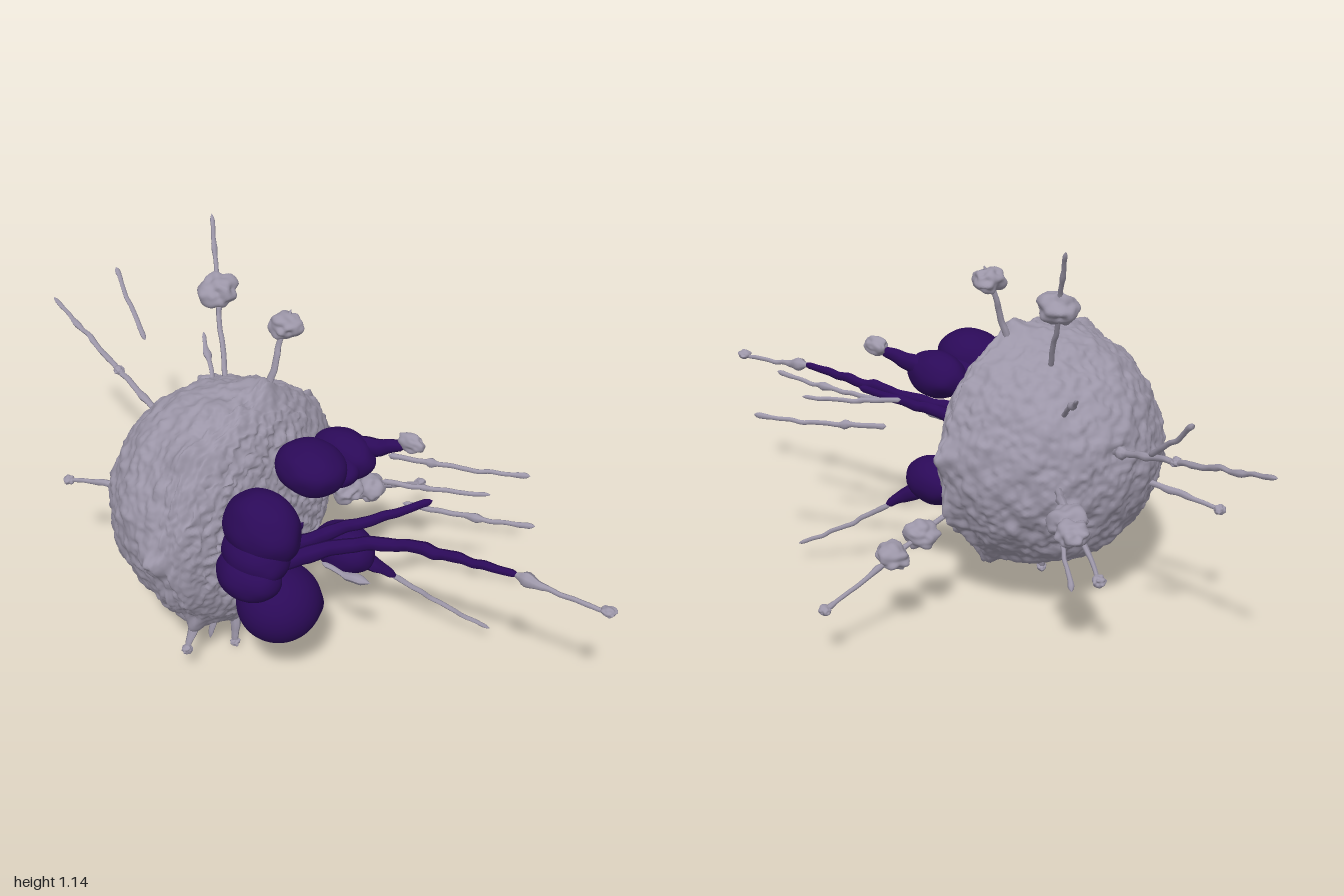
import * as THREE from 'three';
import { mergeVertices } from 'three/addons/utils/BufferGeometryUtils.js';

const CENTRE = new THREE.Vector3(-0.08, 0.465, 0.18);
const RADIUS = 0.343;
const vec = (a) => new THREE.Vector3(...a);

// Smooth seeded value noise in the range -1..1
function hash(x, y, z) {
  const s = Math.sin(x * 127.1 + y * 311.7 + z * 74.7) * 43758.5453;
  return (s - Math.floor(s)) * 2 - 1;
}
function noise(x, y, z) {
  const i = [x, y, z].map(Math.floor);
  const f = [x - i[0], y - i[1], z - i[2]].map((t) => t * t * (3 - 2 * t));
  let sum = 0;
  for (let k = 0; k < 8; k++) {
    const a = k & 1, b = (k >> 1) & 1, c = k >> 2;
    sum += hash(i[0] + a, i[1] + b, i[2] + c) *
      (a ? f[0] : 1 - f[0]) * (b ? f[1] : 1 - f[1]) * (c ? f[2] : 1 - f[2]);
  }
  return sum;
}
const noiseAt = (d, f) => noise(d.x * f, d.y * f, d.z * f);

// A smooth ball whose vertices are moved by rule(unit direction, output)
function ball(detail, rule) {
  let g = new THREE.IcosahedronGeometry(1, detail);
  g.deleteAttribute('uv');
  g.deleteAttribute('normal');
  g = mergeVertices(g, 1e-5);
  const p = g.attributes.position, d = new THREE.Vector3(), o = new THREE.Vector3();
  for (let i = 0; i < p.count; i++) {
    d.fromBufferAttribute(p, i).normalize();
    rule(d, o);
    p.setXYZ(i, o.x, o.y, o.z);
  }
  g.computeVertexNormals();
  return g;
}

// Uneven ellipsoid
function lump(c, r, amp, freq, detail) {
  return ball(detail, (d, o) => {
    const k = 1 + amp * noise(d.x * freq + c.x * 50, d.y * freq + c.y * 50, d.z * freq + c.z * 50);
    o.copy(d).multiply(r).multiplyScalar(k).add(c);
  });
}

// Knotty tapered tube along a path
function strand(points, r0, r1, knots) {
  const path = new THREE.CatmullRomCurve3(points);
  const n = Math.max(14, Math.round(path.getLength() * 110)), sides = 7;
  const g = new THREE.TubeGeometry(path, n, 1, sides);
  const p = g.attributes.position, v = new THREE.Vector3();
  for (let i = 0; i <= n; i++) {
    const t = i / n, c = path.getPointAt(t);
    const knot = Math.pow(Math.max(0, noise(i * 0.22, c.x * 9, c.y * 9)), 2);
    const end = Math.min(1, Math.sqrt(Math.min(i, n - i) / 2));
    const r = (r0 + (r1 - r0) * t) * (1 + knots * knot) * end;
    const sway = 0.007 * Math.sin(t * Math.PI);
    for (let j = 0; j <= sides; j++) {
      const k = i * (sides + 1) + j;
      v.fromBufferAttribute(p, k).sub(c).multiplyScalar(r).add(c);
      p.setXYZ(k, v.x + sway * noise(i * 0.25, 3, c.z), v.y + sway * noise(i * 0.25, 8, c.z), v.z);
    }
  }
  g.computeVertexNormals();
  return g;
}

// Body: half ball with a flattened +x face, ruffled rim and pitted skin
function bodyGeometry() {
  const peaks = [1.79, 0.86, 0, -2.8, 3.04, -0.96, -2.08, -1.42]
    .map((a) => new THREE.Vector3(0.12, Math.sin(a), Math.cos(a)).normalize());
  return ball(52, (d, o) => {
    const face = THREE.MathUtils.smoothstep(d.x, 0.25, 0.7);
    const rim = Math.exp(-Math.pow((d.x - 0.12) / 0.22, 2));
    let k = RADIUS + 0.008 * noiseAt(d, 5) + 0.006 * noiseAt(d, 13) + 0.005 * noiseAt(d, 24);
    k += rim * 0.012 * Math.abs(noise(d.x * 22, d.y * 5, d.z * 5 + 9));
    k += rim * 0.015 * Math.max(0, noise(d.x * 4, d.y * 9, d.z * 9));
    for (const p of peaks) k += 0.03 * Math.pow(Math.max(0, d.dot(p)), 130);
    const x = d.x > 0 ? 0.158 * Math.pow(d.x, 0.65) : d.x * k;
    o.set(x, d.y * k, d.z * k).add(CENTRE);
    o.x += face * 0.01 * noise(d.x * 4, d.y * 26, d.z * 26);
  });
}

// Large lower lobe, drawn out to a point at its lower back corner
function lowerLobeGeometry() {
  const tip = new THREE.Vector3(0, -0.58, -0.81);
  return ball(16, (d, o) => {
    o.set(0.17 + d.x * 0.115, 0.3 + d.y * 0.11, 0.28 + d.z * 0.117);
    o.addScaledVector(tip, 0.085 * Math.pow(Math.max(0, d.dot(tip)), 6));
  });
}

export function createModel() {
  const group = new THREE.Group();
  const grey = new THREE.MeshStandardMaterial({ color: 0x9c96a8 });
  grey.name = 'membrane grey';
  const purple = new THREE.MeshStandardMaterial({ color: 0x2b0a58 });
  purple.name = 'nucleus purple';
  const add = (name, geometry, material) => {
    const m = new THREE.Mesh(geometry, material);
    m.name = name;
    group.add(m);
  };

  add('cellBody', bodyGeometry(), grey);
  add('lowerLobe', lowerLobeGeometry(), purple);

  // Nucleus lobes along the flat face: y, z, height radius, depth radius
  const lobes = {
    upperLobeFront: [0.67, 0.145, 0.074, 0.085],
    upperLobeBack: [0.645, 0.01, 0.067, 0.065],
    upperLobeBridge: [0.635, 0.07, 0.05, 0.07],
    sideLobeUpper: [0.58, 0.335, 0.105, 0.088],
    sideLobeMiddle: [0.51, 0.36, 0.08, 0.08],
    sideLobeLower: [0.46, 0.39, 0.068, 0.075],
    roundLobe: [0.32, 0, 0.07, 0.072],
  };
  for (const [name, [y, z, ry, rz]] of Object.entries(lobes)) {
    add(name, lump(vec([0.165, y, z]), vec([0.07 + ry * 0.4, ry, rz]), 0.04, 2, 14), purple);
  }

  // Nucleus stalks, thick at the root: root, middle, tip
  const stalks = [
    [0.026, [0.13, 0.41, 0.3], [0.36, 0.49, 0.1], [0.74, 0.525, 0]],
    [0.024, [0.12, 0.41, 0.2], [0.25, 0.48, 0.09], [0.41, 0.56, -0.07]],
    [0.028, [0.18, 0.3, -0.02], [0.24, 0.26, -0.05], [0.29, 0.225, -0.085]],
    [0.034, [0.18, 0.66, -0.01], [0.26, 0.68, -0.04], [0.32, 0.7, -0.065]],
    [0.024, [0.1, 0.42, 0.36], [0.12, 0.41, 0.25], [0.1, 0.43, 0.1]],
  ];
  for (const [r, ...pts] of stalks) add('nucleusStalk', strand(pts.map(vec), r, r * 0.38, 0.6), purple);

  // Thin filaments on the face side and a loose one on the left: start, end
  const threads = [
    [[0.72, 0.525, 0.005], [1, 0.505, -0.05]],
    [[0.27, 0.235, -0.075], [0.52, 0.07, -0.23]],
    [[0.17, 0.54, -0.18], [0.52, 0.53, -0.37]],
    [[0.33, 0.53, -0.04], [0.68, 0.56, -0.155]],
    [[0.25, 0.56, -0.05], [0.5, 0.545, -0.21]],
    [[0.25, 0.43, 0.2], [0.4, 0.42, 0.175]],
    [[-0.64, 0.66, -0.035], [-0.82, 0.815, -0.1]],
  ];
  for (const [from, to] of threads) {
    const a = vec(from), b = vec(to), mid = a.clone().lerp(b, 0.5);
    mid.y -= 0.01;
    add('thread', strand([a, mid, b], 0.008, 0.006, 2.5), grey);
  }
  add('stalkTip', lump(vec([0.33, 0.71, -0.07]), vec([0.042, 0.025, 0.025]), 0.25, 2, 8), grey);
  add('threadTip', lump(vec([0.98, 0.507, -0.048]), vec([0.02, 0.013, 0.018]), 0.25, 2, 8), grey);

  // Filaments growing straight out of the body: root radius, tip, then beads [position along, size]
  const sprouts = [
    [0.01, [-0.99, 0.695, 0.01], [0.42, 0.015]],
    [0.009, [-0.6, 0.37, 0.335], [1, 0.016]],
    [0.009, [-0.52, 0.275, -0.07], [1, 0.018]],
    [0.007, [-0.42, 0.2, -0.06]],
    [0.007, [-0.43, 0.755, -0.07]],
    [0.011, [-0.54, 0.465, -0.2], [0.72, 0.05], [1, 0.042]],
    [0.008, [0.015, 0.165, -0.56], [0.27, 0.045], [0.48, 0.045], [0.98, 0.017]],
    [0.008, [-0.39, 1.14, -0.08], [0.55, 0.052]],
    [0.011, [-0.03, 1.01, 0], [0.83, 0.044]],
    [0.024, [-0.03, 0.005, 0.25], [0.9, 0.015]],
    [0.024, [-0.05, 0.09, 0.425], [0.95, 0.015]],
    [0.016, [-0.07, 0.05, 0.31]],
  ];
  for (const [r, end, ...beads] of sprouts) {
    const tip = vec(end);
    const root = tip.clone().sub(CENTRE).setLength(RADIUS - 0.02).add(CENTRE);
    const mid = root.clone().lerp(tip, 0.5);
    add('filament', strand([root, mid, tip], r, 0.006, 1.5), grey);
    for (const [t, size] of beads) {
      const c = root.clone().lerp(tip, t);
      add('bead', lump(c, vec([size, size * 0.82, size]), 0.28, 2.2, 8), grey);
    }
  }
  return group;
}
